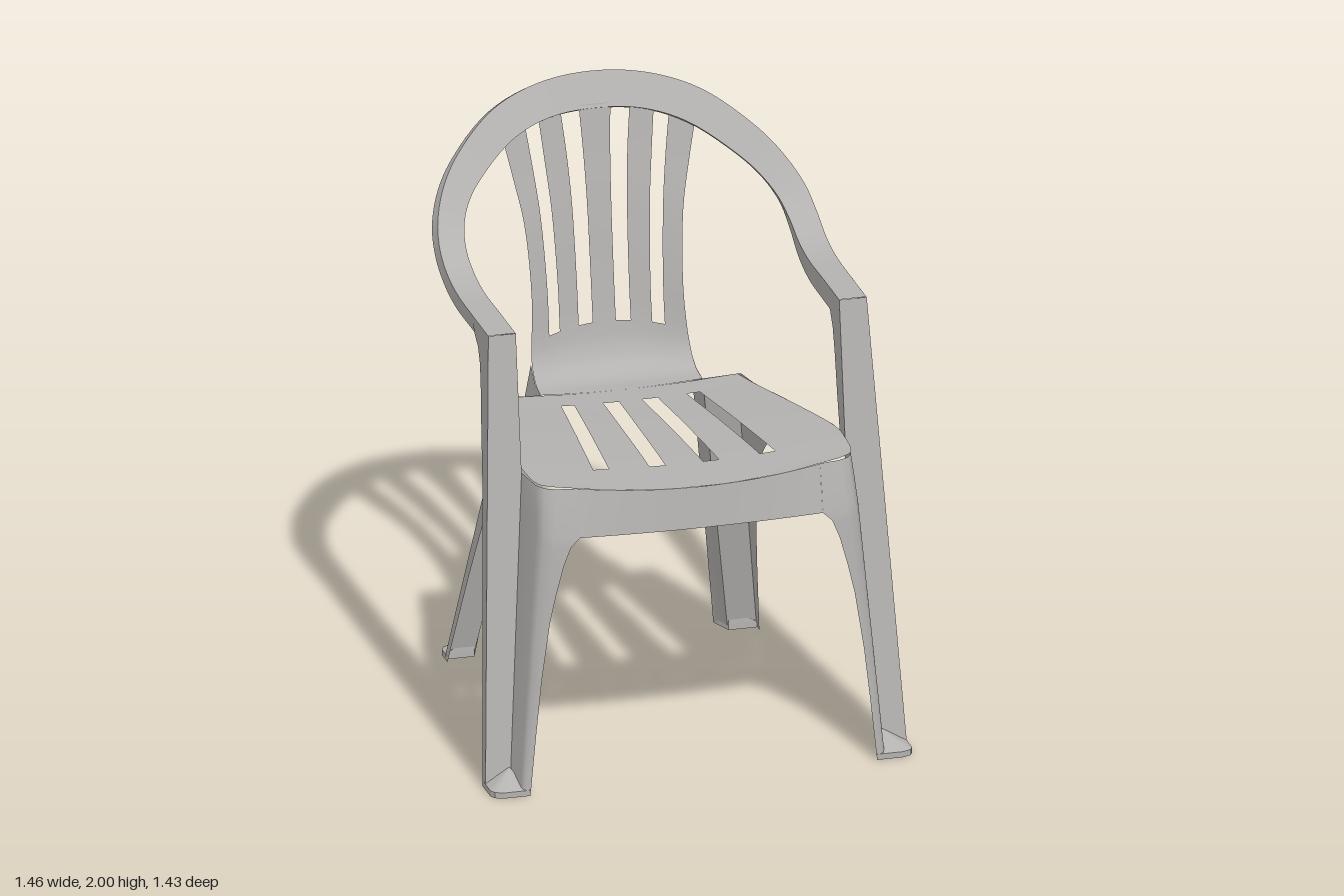
import * as THREE from 'three';
import { ConvexGeometry } from 'three/addons/geometries/ConvexGeometry.js';

const V = (x, y, z) => new THREE.Vector3(x, y, z);
const plastic = new THREE.MeshStandardMaterial({ color: 0xb4b2b0, side: THREE.DoubleSide });
plastic.name = 'grey plastic';

// Thin moulded skin through rows of points; crease keeps folds between columns sharp
function sheet(rows, crease = false, skip = () => false) {
  if (crease) rows = rows.map(r => r.flatMap((p, i) => (i && i < r.length - 1 ? [p, p] : [p])));
  const n = rows[0].length, index = [];
  for (let i = 0; i < rows.length - 1; i++) {
    for (let j = 0; j < n - 1; j++) {
      if ((crease && j % 2) || skip(i, j)) continue;
      const a = i * n + j, b = a + n;
      index.push(a, a + 1, b, b, a + 1, b + 1);
    }
  }
  const g = new THREE.BufferGeometry().setFromPoints(rows.flat());
  g.setIndex(index);
  g.computeVertexNormals();
  return g;
}

// Adds smooth rows between the given rows, n steps per gap
function densify(rows, n) {
  const steps = (rows.length - 1) * n;
  const curves = rows[0].map((_, j) => new THREE.CatmullRomCurve3(rows.map(r => r[j])));
  return Array.from({ length: steps + 1 }, (_, i) => curves.map(c => c.getPoint(i / steps)));
}

// Row across the seat or back: slot edges a, b and outer edge e, mirrored
function across([z, y, a0, a1, b0, b1, e, bow, lift]) {
  return [-e, -b1, -b0, -a1, -a0, a0, a1, b0, b1, e].map(x => {
    const k = (x / e) ** 2;
    return V(x, y + lift * k, z + bow * k);
  });
}

const lerp = THREE.MathUtils.lerp;

export function createModel() {
  const chair = new THREE.Group();
  chair.name = 'gardenChair';
  const add = (name, geometry) => {
    const m = new THREE.Mesh(geometry, plastic);
    m.name = name;
    chair.add(m);
  };
  const flip = (p, s) => V(p.x * s, p.y, p.z);
  const both = (name, rows, crease) => {
    for (const s of [1, -1]) add((s > 0 ? 'left' : 'right') + name, sheet(rows.map(r => r.map(p => flip(p, s))), crease));
  };

  // Seat with four slots
  const seatRows = densify([
    [0.685, 1.035, 0.07, 0.125, 0.27, 0.325, 0.49, -0.05, 0.03],
    [0.62, 1.035, 0.068, 0.122, 0.265, 0.32, 0.54, -0.02, 0.032],
    [0.47, 1.035, 0.065, 0.12, 0.26, 0.315, 0.557, 0, 0.034],
    [0.36, 1.033, 0.061, 0.116, 0.25, 0.303, 0.555, 0, 0.034],
    [0.08, 1.022, 0.051, 0.106, 0.222, 0.271, 0.49, 0, 0.028],
    [-0.19, 1.008, 0.04, 0.095, 0.195, 0.24, 0.426, 0, 0.018],
    [-0.3, 1.005, 0.04, 0.095, 0.185, 0.23, 0.4, 0, 0.015],
  ].map(across), 4);
  add('seat', sheet(seatRows, false, (i, j) => j % 2 === 1 && i >= 8 && i < 20));

  // Seat curving up into the slatted backrest
  const backRows = densify([
    [-0.3, 1.005, 0.04, 0.095, 0.185, 0.23, 0.28, 0, 0.01],
    [-0.39, 1.005, 0.04, 0.093, 0.175, 0.22, 0.278, 0.025, 0.02],
    [-0.46, 1.035, 0.04, 0.09, 0.165, 0.205, 0.276, 0.05, 0.02],
    [-0.495, 1.09, 0.04, 0.09, 0.16, 0.2, 0.274, 0.06, 0],
    [-0.515, 1.17, 0.04, 0.09, 0.16, 0.2, 0.27, 0.065, -0.035],
    [-0.54, 1.32, 0.04, 0.09, 0.16, 0.2, 0.262, 0.065, -0.03],
    [-0.58, 1.58, 0.042, 0.095, 0.17, 0.212, 0.275, 0.06, -0.04],
    [-0.61, 1.75, 0.047, 0.105, 0.185, 0.23, 0.305, 0.055, -0.05],
    [-0.637, 1.905, 0.055, 0.12, 0.2, 0.25, 0.335, 0.055, -0.065],
  ].map(across), 4);
  add('backrest', sheet(backRows, false, (i, j) => j % 2 === 1 && i >= 16));

  // Armrests and top rim: one channel, given by outer and inner edge points
  const half = [
    [0.655, 1.53, 0.385, 0.56, 1.53, 0.385],
    [0.655, 1.53, 0.2, 0.56, 1.53, 0.2],
    [0.655, 1.535, 0, 0.56, 1.53, 0],
    [0.655, 1.56, -0.12, 0.56, 1.55, -0.12],
    [0.652, 1.61, -0.22, 0.558, 1.59, -0.22],
    [0.635, 1.675, -0.305, 0.542, 1.64, -0.31],
    [0.585, 1.755, -0.41, 0.5, 1.695, -0.4],
    [0.51, 1.83, -0.5, 0.435, 1.75, -0.47],
    [0.36, 1.93, -0.61, 0.3, 1.835, -0.565],
    [0.19, 1.983, -0.67, 0.16, 1.878, -0.615],
    [0, 2, -0.69, 0, 1.89, -0.63],
  ].map(p => [V(...p.slice(0, 3)), V(...p.slice(3))]);
  const rim = densify([...half, ...half.slice(0, -1).reverse().map(r => r.map(p => flip(p, -1)))], 5);
  const rimRows = rim.map(([o, i], k) => {
    const t = rim[Math.min(k + 1, rim.length - 1)][0].clone().sub(rim[Math.max(k - 1, 0)][0]);
    const down = t.cross(o.clone().sub(i)).normalize();
    const f = Math.min(1, Math.max(0, (o.y - 1.53) / 0.3));
    return [o.clone().addScaledVector(down, lerp(0.05, 0.035, f)), o, i,
      i.clone().addScaledVector(down, lerp(0.075, 0.02, f))];
  });
  add('armsAndTopRim', sheet(rimRows, true));

  // Front legs: channel with side skirts, widening into the armrest
  const ridge = y => lerp(0.62, 0.388, y / 1.53);
  const outer = y => lerp(0.73, 0.655, y / 1.53);
  const wall = y => (y > 1.06 ? 0.56 : lerp(0.645, 0.56, y / 1.06));
  const depths = [[1.53, 0.2], [1.48, 0.17], [1.45, 0.125], [1.4, 0.1], [1.32, 0.088], [1.18, 0.078], [1.06, 0.065], [0.9, 0.055], [0.5, 0.048], [0, 0.04]];
  both('FrontLeg', depths.map(([y, d]) => [
    V(outer(y), y, ridge(y) - d), V(outer(y), y, ridge(y)),
    V(wall(y), y, ridge(y)), V(wall(y), y, ridge(y) - (y > 1 ? d : 0.004)),
  ]), true);

  // Front leg panels wrapping round the seat corner: height, inner x, front z
  const panel = [[1.058, 0.42, 0.648], [0.98, 0.42, 0.668], [0.895, 0.42, 0.685], [0.865, 0.452, 0.686], [0.8, 0.478, 0.688], [0.7, 0.505, 0.69], [0.6, 0.528, 0.693], [0.4, 0.558, 0.7], [0.2, 0.58, 0.706], [0, 0.6, 0.712]];
  both('FrontLegPanel', panel.map(([y, x, z]) => {
    const k = Math.min(1, y / 1.058), w = wall(y);
    return [V(x, y, z), V(lerp(0.615, 0.49, k), y, z - 0.012 * k), V(lerp(0.625, 0.525, k), y, z - lerp(0.004, 0.03, k)),
      V(lerp(0.631, 0.545, k), y, z - lerp(0.015, 0.065, k)), V(w, y, ridge(y))];
  }));

  // Front apron
  const apron = [];
  for (let i = 0; i <= 16; i++) {
    const x = lerp(-0.42, 0.42, i / 16), k = (x / 0.49) ** 2, q = (x / 0.42) ** 2;
    apron.push([V(x, 1.035 + 0.03 * k, 0.685 - 0.05 * k), V(x, 0.895, 0.705 - 0.02 * q)]);
  }
  add('frontApron', sheet(apron));

  // Side skirts sweeping down into the rear legs: seat edge or leg edge, then lower curve
  const legA = y => V(lerp(0.54, 0.4, y / 1.02), y, lerp(-0.56, -0.3, y / 1.02));
  const sides = densify([
    [V(0.557, 1.068, 0.42), V(0.562, 1.0, 0.37)],
    [V(0.553, 1.066, 0.34), V(0.55, 0.98, 0.3)],
    [V(0.523, 1.058, 0.22), V(0.53, 0.955, 0.18)],
    [V(0.49, 1.05, 0.08), V(0.5, 0.92, 0.04)],
    [V(0.454, 1.035, -0.08), V(0.475, 0.86, -0.1)],
    [V(0.427, 1.026, -0.19), V(0.465, 0.79, -0.19)],
    [legA(1.02), V(0.465, 0.71, -0.25)],
    [legA(0.8), V(0.473, 0.58, -0.315)],
    [legA(0.45), V(0.497, 0.36, -0.405)],
    [legA(0), V(0.54, 0, -0.525)],
  ], 3);
  both('SideSkirt', sides);

  // Rear legs: recessed step and inner wall running back to the seat
  both('RearLeg', [1, 0.75, 0.5, 0.25, 0].map(k => {
    const a = legA(1.02 * k);
    return [a, V(lerp(0.44, 0.28, k), a.y - 0.005 * k, a.z),
      V(lerp(0.425, 0.279, k), lerp(0, 1.025, k), lerp(-0.6, -0.37, k)),
      V(lerp(0.41, 0.275, k), lerp(0, 1.07, k), lerp(-0.63, -0.44, k))];
  }), true);

  // Feet: low wedges closing the leg recesses
  const feet = {
    FrontFoot: [[[0.6, 0.712], [0.69, 0.712], [0.72, 0.7], [0.73, 0.68], [0.73, 0.6], [0.645, 0.61]], [0.645, 0.07, 0.612]],
    RearFoot: [[[0.41, -0.63], [0.5, -0.63], [0.53, -0.615], [0.54, -0.59], [0.54, -0.55], [0.44, -0.55]], [0.445, 0.07, -0.552]],
  };
  for (const [name, [base, top]] of Object.entries(feet)) {
    const pts = [V(...top), ...base.flatMap(([x, z]) => [V(x, 0, z), V(x, 0.02, z)])];
    for (const s of [1, -1]) add((s > 0 ? 'left' : 'right') + name, new ConvexGeometry(pts.map(p => flip(p, s))));
  }
  return chair;
}
